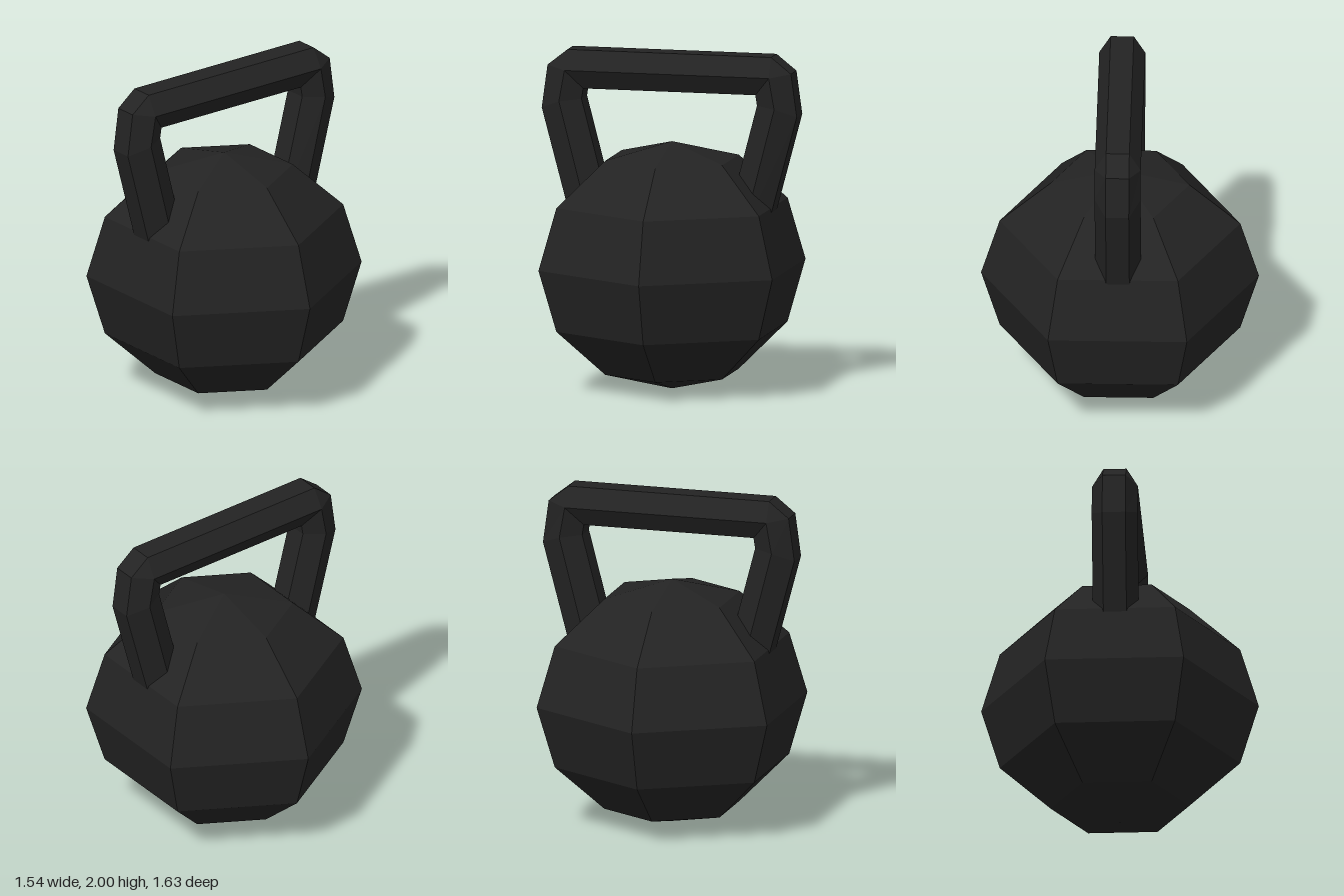
import * as THREE from 'three';

export function createModel() {
  const model = new THREE.Group();
  model.name = 'kettlebell';
  const iron = new THREE.MeshStandardMaterial({ color: 0x232323 });
  iron.name = 'blackIron';

  const addPart = (name, geometry) => {
    geometry.computeVertexNormals();
    const mesh = new THREE.Mesh(geometry, iron);
    mesh.name = name;
    model.add(mesh);
  };

  // Weight: faceted six-sided ball with corners facing front and back
  const ball = new THREE.SphereGeometry(1, 6, 6);
  ball.rotateY(Math.PI / 2);
  ball.scale(0.815, 0.734, 0.815);
  ball.translate(0, 0.734, 0);
  addPart('weight', ball.toNonIndexed());

  // Handle: hexagonal bar; each station gives outer, middle and inner edge points [x, y]
  const half = [
    [[0.57, 0.9], [0.46, 0.96], [0.35, 1.02]],
    [[0.77, 1.65], [0.65, 1.7], [0.53, 1.71]],
    [[0.735, 1.905], [0.617, 1.885], [0.52, 1.772]],
    [[0.615, 2], [0.617, 1.885], [0.52, 1.772]],
  ];
  const mirrored = half.map((s) => s.map(([x, y]) => [-x, y])).reverse();
  const rings = [...half, ...mirrored].map(([o, m, i]) => [
    [o, 0.068], [o, -0.068], [m, -0.135], [i, -0.068], [i, 0.068], [m, 0.135],
  ].map(([p, z]) => new THREE.Vector3(p[0], p[1], z)));

  // Skin the rings, skipping triangles that collapse at the corner folds
  const points = [];
  const triangle = (a, b, c) => {
    if (new THREE.Triangle(a, b, c).getArea() > 1e-6) points.push(a, b, c);
  };
  for (let s = 0; s < rings.length - 1; s++) {
    for (let k = 0; k < 6; k++) {
      const n = (k + 1) % 6;
      const [a, b, c, d] = [rings[s][k], rings[s][n], rings[s + 1][n], rings[s + 1][k]];
      triangle(a, b, c);
      triangle(a, c, d);
    }
  }
  // Close the leg ends inside the weight
  const last = rings[rings.length - 1];
  for (let k = 1; k < 5; k++) {
    triangle(rings[0][0], rings[0][k + 1], rings[0][k]);
    triangle(last[0], last[k], last[k + 1]);
  }
  addPart('handle', new THREE.BufferGeometry().setFromPoints(points));

  return model;
}
